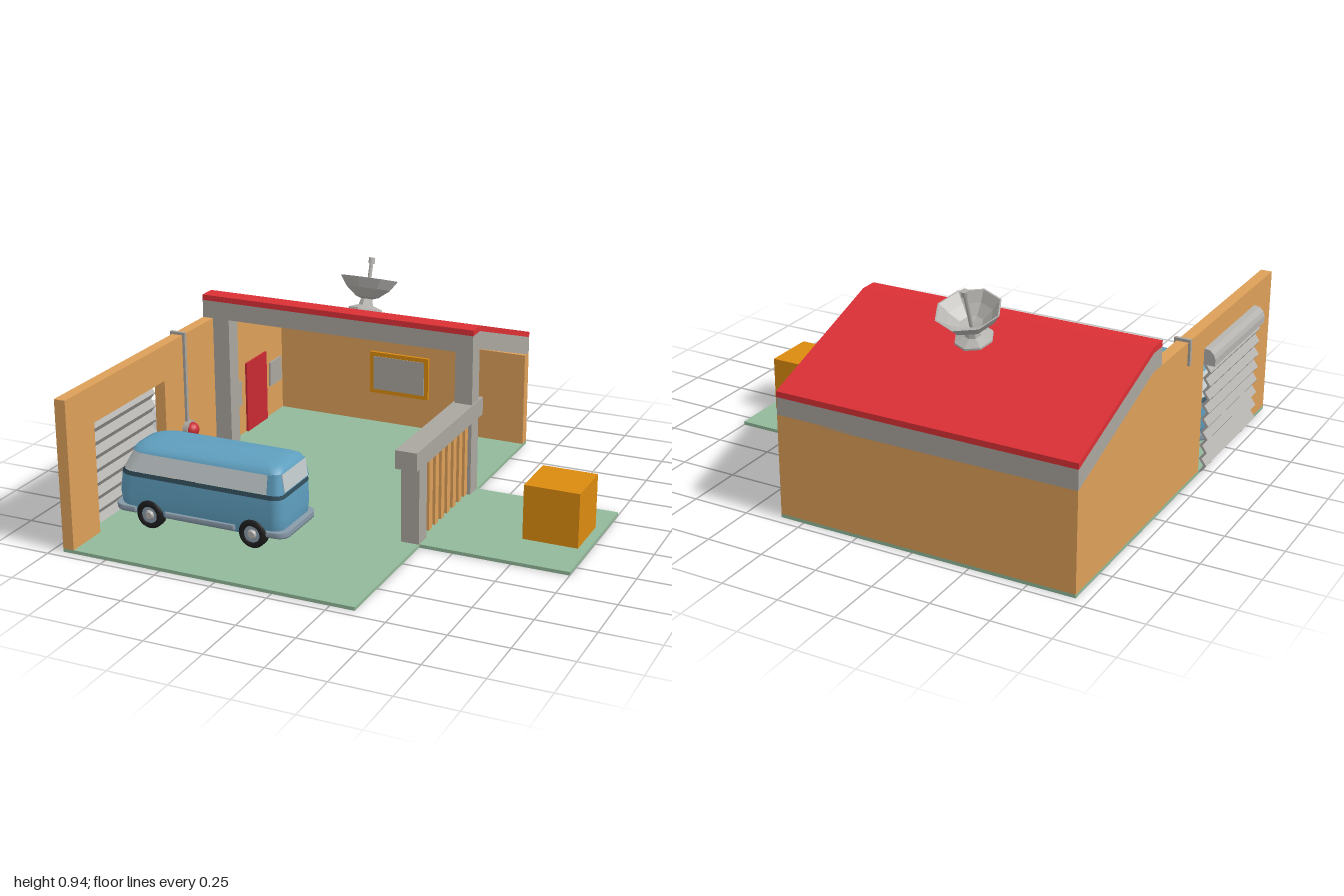
import * as THREE from 'three';

const C = {
  wall: 0xdd9f58, stone: 0xaaa69f, red: 0xc92a33, roof: 0xdb3035, grass: 0x92b99a,
  orange: 0xdb8b10, blue: 0x5f9fbf, glass: 0xc2cacb, dark: 0x33505e, chrome: 0x8799a8, black: 0x1c1c1e, metal: 0xb4b2ae,
};

function add(parent, name, geometry, color, flat = false, side = THREE.FrontSide) {
  const mesh = new THREE.Mesh(geometry, new THREE.MeshStandardMaterial({ color, flatShading: flat, side }));
  mesh.name = name;
  parent.add(mesh);
  return mesh;
}

// Box given by its limits on each axis
function box(parent, name, color, [x0, x1], [y0, y1], [z0, z1]) {
  const m = add(parent, name, new THREE.BoxGeometry(x1 - x0, y1 - y0, z1 - z0), color);
  m.position.set((x0 + x1) / 2, (y0 + y1) / 2, (z0 + z1) / 2);
  return m;
}

// Profile of [z, y] points extruded along x
function alongX(parent, name, color, pts, x0, x1) {
  const shape = new THREE.Shape(pts.map(p => new THREE.Vector2(...p)));
  const g = new THREE.ExtrudeGeometry(shape, { depth: x1 - x0, bevelEnabled: false });
  g.rotateY(-Math.PI / 2).translate(x1, 0, 0);
  return add(parent, name, g, color);
}

// Profile of [x, y] points extruded along z
function alongZ(parent, name, color, pts, z0, z1) {
  const shape = new THREE.Shape(pts.map(p => new THREE.Vector2(...p)));
  const g = new THREE.ExtrudeGeometry(shape, { depth: z1 - z0, bevelEnabled: false });
  return add(parent, name, g.translate(0, 0, z0), color);
}

// Stack of rounded rectangles: rows of [y, xMin, xMax, halfWidth]
function loft(rows, rMin = 0.08, rMax = 0.045) {
  const pos = [], idx = [], n = 24;
  for (const [y, x0, x1, w] of rows) {
    for (let k = 0; k < 4; k++) {
      const sx = k === 0 || k === 3 ? 1 : -1, sz = k < 2 ? 1 : -1;
      const r = Math.min(sx > 0 ? rMax : rMin, w, (x1 - x0) / 2);
      for (let i = 0; i < 6; i++) {
        const t = (k + i / 5) * Math.PI / 2;
        pos.push((sx > 0 ? x1 - r : x0 + r) + r * Math.cos(t), y, sz * (w - r) + r * Math.sin(t));
      }
    }
  }
  for (let j = 0; j < rows.length - 1; j++) {
    for (let i = 0; i < n; i++) {
      const a = j * n + i, b = j * n + (i + 1) % n;
      idx.push(a, a + n, b, b, a + n, b + n);
    }
  }
  const g = new THREE.BufferGeometry();
  g.setAttribute('position', new THREE.Float32BufferAttribute(pos, 3));
  g.setIndex(idx);
  g.computeVertexNormals();
  return g;
}

function createBuilding() {
  const g = new THREE.Group();
  g.name = 'building';
  box(g, 'yard', C.grass, [-0.95, 0.355], [0, 0.015], [-0.96, 0.96]);
  box(g, 'sideYard', C.grass, [0.355, 1], [0, 0.015], [-0.32, 0.33]);

  // Side wall, notched for the shutter, and back wall
  alongX(g, 'sideWall', C.wall, [[-0.96, 0.015], [0.2, 0.015], [0.2, 0.5], [0.76, 0.5], [0.76, 0.015],
    [0.96, 0.015], [0.96, 0.66], [-0.32, 0.66], [-0.96, 0.44]], -0.95, -0.9);
  box(g, 'backWall', C.wall, [-0.9, 0.355], [0.015, 0.45], [-0.96, -0.91]);

  // Portal posts and sloped roof frame
  box(g, 'portalPost', C.stone, [-0.9, -0.82], [0.015, 0.66], [-0.32, -0.24]);
  box(g, 'portalPost', C.stone, [0.275, 0.355], [0.015, 0.66], [-0.32, -0.24]);
  const side = [[-0.24, 0.74], [-0.32, 0.74], [-0.96, 0.525], [-0.96, 0.44], [-0.32, 0.66], [-0.24, 0.66]];
  alongX(g, 'roofSideBeam', C.stone, side, -0.95, -0.82);
  alongX(g, 'roofSideBeam', C.stone, side, 0.275, 0.355);
  box(g, 'roofFrontBeam', C.stone, [-0.82, 0.275], [0.66, 0.74], [-0.32, -0.24]);
  alongX(g, 'roofBackBeam', C.stone, [[-0.96, 0.525], [-0.96, 0.44], [-0.88, 0.467], [-0.88, 0.552]], -0.82, 0.275);
  alongX(g, 'roof', C.roof, [[-0.24, 0.74], [-0.24, 0.765], [-0.32, 0.765], [-0.96, 0.55], [-0.96, 0.525], [-0.32, 0.74]], -0.95, 0.355);

  // Door and windows
  box(g, 'door', C.red, [-0.9, -0.89], [0.015, 0.355], [-0.73, -0.53]);
  for (const z of [-0.42, -0.83]) box(g, 'sideWindow', C.stone, [-0.9, -0.892], [0.165, 0.285], [z - 0.06, z + 0.06]);
  box(g, 'backWindowFrame', C.orange, [-0.42, -0.12], [0.165, 0.37], [-0.95, -0.895]);
  box(g, 'backWindowPane', C.stone, [-0.4, -0.14], [0.185, 0.35], [-0.93, -0.892]);

  // Shutter with folded slats and its roller housing
  const outer = [], inner = [], slats = 8, step = 0.485 / slats;
  for (let i = 0; i <= slats * 2; i++) {
    const y = 0.015 + i * step / 2, x = i % 2 ? -0.985 : -0.963;
    outer.push([x, y]);
    inner.unshift([x + 0.013, y]);
  }
  alongZ(g, 'shutter', C.metal, [...inner, ...outer], 0.2, 0.76);
  alongZ(g, 'shutterHousing', C.metal, [[-0.95, 0.5], [-0.95, 0.57], [-0.975, 0.567], [-0.993, 0.55], [-1, 0.53], [-1, 0.5]], 0.2, 0.76);

  // Alarm bell with a conduit over the wall
  box(g, 'conduit', C.stone, [-0.9, -0.888], [0.22, 0.67], [0.022, 0.038]);
  box(g, 'conduit', C.stone, [-0.96, -0.888], [0.66, 0.672], [0.022, 0.038]);
  box(g, 'conduit', C.stone, [-0.96, -0.95], [0.56, 0.66], [0.022, 0.038]);
  const base = add(g, 'alarmBase', new THREE.CylinderGeometry(0.042, 0.042, 0.025, 16), C.stone);
  base.rotation.z = -Math.PI / 2;
  base.position.set(-0.888, 0.22, 0.025);
  const bell = add(g, 'alarmBell', new THREE.SphereGeometry(0.034, 16, 8, 0, Math.PI * 2, 0, Math.PI / 2), C.red);
  bell.rotation.z = -Math.PI / 2;
  bell.position.set(-0.8755, 0.22, 0.025);
  return g;
}

function createFence() {
  const g = new THREE.Group();
  g.name = 'fence';
  box(g, 'fencePost', C.stone, [0.275, 0.355], [0.015, 0.35], [0.255, 0.335]);
  box(g, 'fenceRail', C.stone, [0.265, 0.36], [0.35, 0.43], [-0.36, 0.375]);
  const n = 15, w = 0.495 / n;
  for (let i = 0; i < n; i++) {
    const z = -0.24 + i * w, d = i % 2 ? 0.012 : 0.024;
    box(g, 'fencePlank', C.wall, [0.315 - d, 0.315 + d], [0.015, 0.35], [z, z + w]);
  }
  return g;
}

function createDish() {
  const g = new THREE.Group();
  g.name = 'satelliteDish';
  const pts = list => list.map(p => new THREE.Vector2(...p));
  add(g, 'dishBase', new THREE.LatheGeometry(pts([[0.085, -0.015], [0.08, 0.01], [0.035, 0.025], [0.025, 0.06]]), 8), C.metal, true);
  add(g, 'dishBowl', new THREE.LatheGeometry(pts([[0, 0.045], [0.055, 0.062], [0.105, 0.1], [0.137, 0.145], [0.13, 0.145],
    [0.095, 0.108], [0.05, 0.075], [0, 0.06]]), 8), C.metal, true);
  add(g, 'dishRod', new THREE.CylinderGeometry(0.009, 0.009, 0.16, 8), C.metal).position.y = 0.14;
  add(g, 'dishReceiver', new THREE.CylinderGeometry(0.015, 0.015, 0.026, 8), C.metal).position.y = 0.225;
  g.position.set(-0.25, 0.714, -0.467);
  g.rotation.x = -0.33;
  return g;
}

function createVan() {
  const g = new THREE.Group();
  g.name = 'van';
  // Body in stacked bands
  add(g, 'lowerBody', loft([[0.065, -0.5, -0.5, 0], [0.065, -0.87, -0.14, 0.13], [0.08, -0.892, -0.125, 0.142],
    [0.15, -0.9, -0.12, 0.148], [0.237, -0.89, -0.121, 0.146]]), C.blue);
  add(g, 'beltStripe', loft([[0.237, -0.89, -0.121, 0.147], [0.257, -0.882, -0.122, 0.145]]), C.dark);
  add(g, 'windowBand', loft([[0.257, -0.88, -0.123, 0.143], [0.34, -0.835, -0.135, 0.126]]), C.glass);
  add(g, 'rearPillars', loft([[0.257, -0.19, -0.122, 0.144], [0.342, -0.19, -0.134, 0.127]], 0.01), C.blue);
  add(g, 'roof', loft([[0.338, -0.84, -0.132, 0.13], [0.352, -0.828, -0.138, 0.122], [0.365, -0.8, -0.155, 0.1],
    [0.373, -0.74, -0.2, 0.065], [0.375, -0.5, -0.5, 0]]), C.blue);
  const pane = box(g, 'rearWindow', C.glass, [-0.135, -0.125], [0.262, 0.338], [-0.105, 0.105]);
  pane.rotation.z = 0.14;

  // Bumpers and running boards
  const trim = (name, x0, x1, r0, r1) => add(g, name, loft([[0.075, (x0 + x1) / 2, (x0 + x1) / 2, 0], [0.075, x0, x1, 0.15],
    [0.082, x0, x1, 0.154], [0.098, x0, x1, 0.154], [0.102, x0, x1, 0.15], [0.102, (x0 + x1) / 2, (x0 + x1) / 2, 0]], r0, r1), C.chrome);
  trim('frontBumper', -0.907, -0.795, 0.09, 0.01);
  trim('runningBoard', -0.66, -0.33, 0.01, 0.01);
  trim('rearBumper', -0.19, -0.1, 0.01, 0.05);

  // Wheels with hubs
  for (const x of [-0.73, -0.25]) {
    for (const s of [-1, 1]) {
      const wheel = new THREE.Group();
      wheel.name = 'wheel';
      const tyre = [[0.035, -0.025], [0.055, -0.025], [0.062, -0.015], [0.062, 0.015], [0.055, 0.025], [0.038, 0.025], [0.036, 0.016]];
      add(wheel, 'tyre', new THREE.LatheGeometry(tyre.map(p => new THREE.Vector2(...p)), 24), C.black);
      add(wheel, 'rim', new THREE.CylinderGeometry(0.037, 0.037, 0.036, 24), C.chrome);
      add(wheel, 'hubCap', new THREE.CylinderGeometry(0.015, 0.022, 0.012, 16), C.metal).position.y = 0.022;
      wheel.rotation.x = s * Math.PI / 2;
      wheel.position.set(x, 0.077, s * 0.132);
      g.add(wheel);
    }
  }
  g.position.z = 0.493;
  return g;
}

export function createModel() {
  const model = new THREE.Group();
  model.name = 'garage';
  model.add(createBuilding(), createFence(), createDish(), createVan());
  box(model, 'crate', C.orange, [0.72, 0.96], [0.015, 0.255], [-0.13, 0.105]);
  return model;
}
